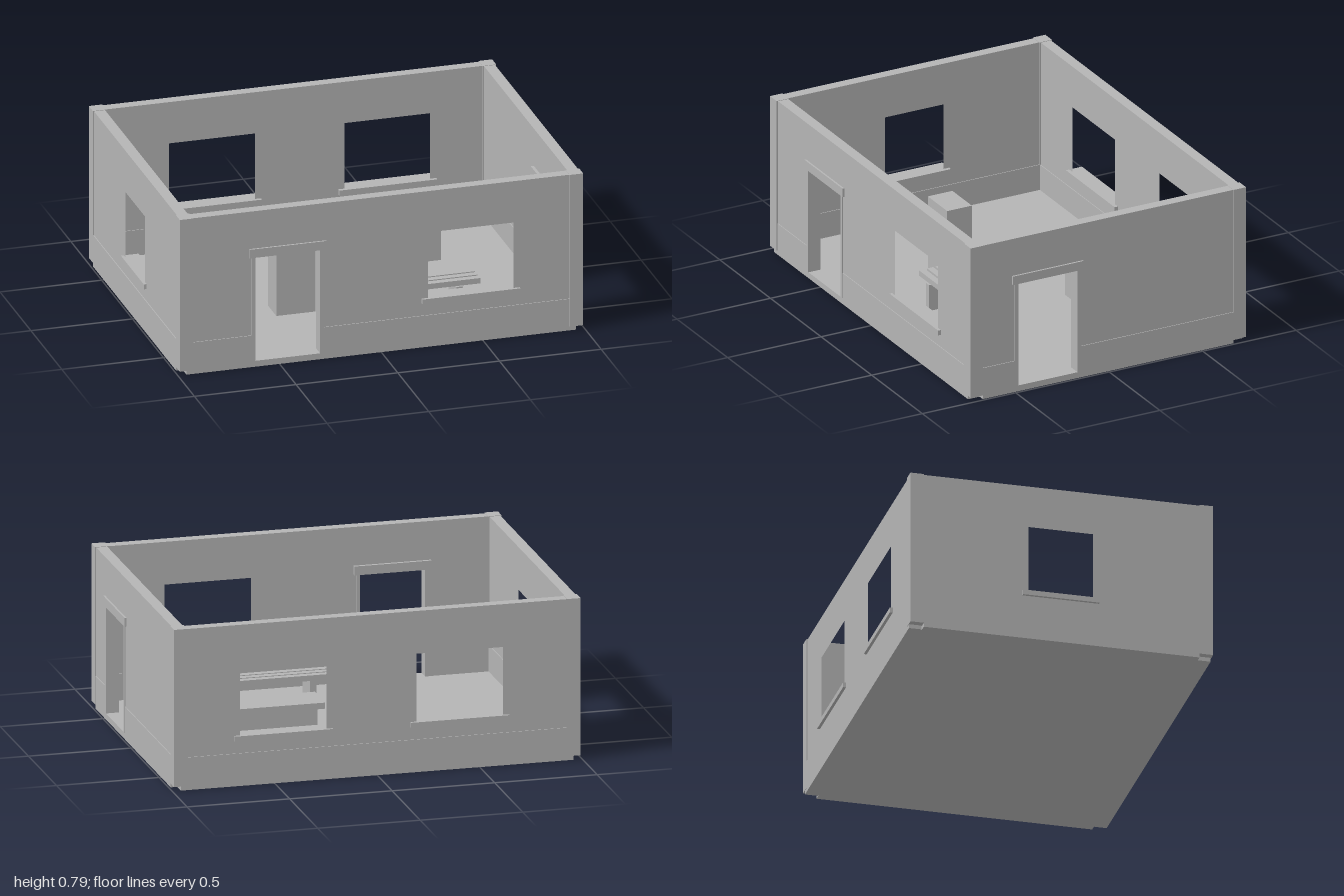
import * as THREE from 'three';

export function createModel() {
  const model = new THREE.Group();
  model.name = 'roomShell';
  const grey = new THREE.MeshStandardMaterial({ color: 0xb4b4b4 });
  grey.name = 'plainGrey';

  const TOP = 0.79, FLOOR = 0.03, PLINTH = 0.16, WALL = 0.054;

  // Box given by its minimum and maximum corners
  function box(parent, name, x0, x1, y0, y1, z0, z1) {
    const mesh = new THREE.Mesh(new THREE.BoxGeometry(x1 - x0, y1 - y0, z1 - z0), grey);
    mesh.position.set((x0 + x1) / 2, (y0 + y1) / 2, (z0 + z1) / 2);
    mesh.name = name;
    parent.add(mesh);
  }

  // Upright panel cut from an outline with holes, between depths z0 and z1
  function panel(parent, name, outline, holes, z0, z1) {
    const toPoints = (list) => list.map(([x, y]) => new THREE.Vector2(x, y));
    const shape = new THREE.Shape(toPoints(outline));
    for (const h of holes) shape.holes.push(new THREE.Path(toPoints(h)));
    const geometry = new THREE.ExtrudeGeometry(shape, { depth: z1 - z0, bevelEnabled: false });
    geometry.translate(0, 0, z0);
    const mesh = new THREE.Mesh(geometry, grey);
    mesh.name = name;
    parent.add(mesh);
  }

  const rect = (x0, x1, y0, y1) => [[x0, y0], [x0, y1], [x1, y1], [x1, y0]];

  // One wall in its own frame: x along the wall, +z outwards, outer face at z = 0
  function wall({ name, turn, x = 0, z = 0, half, plinthHalf, doors = [], windows = [] }) {
    const g = new THREE.Group();
    g.name = name;
    g.rotation.y = turn;
    g.position.set(x, 0, z);

    const holes = [];
    for (const [a, b] of doors) holes.push(rect(a, b, FLOOR, 0.556));
    for (const [a, b] of windows) holes.push(rect(a, b, 0.235, 0.58));
    panel(g, 'wallPanel', rect(-half, half, 0.02, TOP), holes, -WALL, 0);

    // Plinth, dropping to a threshold at each door
    const outline = [[-plinthHalf, 0], [-plinthHalf, PLINTH]];
    for (const [a, b] of doors) outline.push([a, PLINTH], [a, FLOOR], [b, FLOOR], [b, PLINTH]);
    outline.push([plinthHalf, PLINTH], [plinthHalf, 0]);
    panel(g, 'plinth', outline, [], -WALL - 0.004, 0.004);

    // Door frames
    for (const [a, b] of doors) {
      box(g, 'doorJamb', a - 0.018, a, FLOOR, 0.556, -WALL - 0.006, 0.005);
      box(g, 'doorJamb', b, b + 0.018, FLOOR, 0.556, -WALL - 0.006, 0.005);
      box(g, 'doorLintel', a - 0.03, b + 0.03, 0.556, 0.6, -WALL - 0.015, 0.009);
    }
    // Window sills
    for (const [a, b] of windows) {
      box(g, 'windowSill', a - 0.03, b + 0.03, 0.222, 0.247, -WALL - 0.018, 0.014);
    }
    model.add(g);
  }

  wall({ name: 'frontWall', turn: 0, z: 0.729, half: 0.958, plinthHalf: 0.958,
    doors: [[-0.618, -0.301]], windows: [[0.23, 0.652]] });
  wall({ name: 'backWall', turn: Math.PI, z: -0.731, half: 0.958, plinthHalf: 0.958,
    windows: [[-0.668, -0.247], [0.193, 0.615]] });
  wall({ name: 'rightWall', turn: Math.PI / 2, x: 0.986, half: 0.671, plinthHalf: 0.671,
    doors: [[-0.482, -0.164]] });
  wall({ name: 'leftWall', turn: -Math.PI / 2, x: -0.986, half: 0.671, plinthHalf: 0.671,
    windows: [[-0.16, 0.152]] });

  // Corner posts
  for (const sx of [-1, 1]) {
    for (const sz of [-1, 1]) {
      const cx = sx * 0.9585, cz = sz * 0.7035;
      box(model, 'cornerPost', cx - 0.033, cx + 0.033, 0.02, TOP + 0.002, cz - 0.033, cz + 0.033);
    }
  }

  // Floor slab
  box(model, 'floor', -0.95, 0.95, 0, FLOOR, -0.69, 0.69);

  // Slatted bench
  const bench = new THREE.Group();
  bench.name = 'bench';
  for (const x of [0.01, 0.457]) box(bench, 'benchLeg', x, x + 0.032, FLOOR, 0.163, 0.313, 0.445);
  for (const z of [0.313, 0.357, 0.401]) box(bench, 'benchSlat', -0.08, 0.578, 0.163, 0.19, z, z + 0.033);
  model.add(bench);

  // Tall cabinet
  box(model, 'cabinet', -0.364, -0.172, FLOOR, 0.415, 0.1, 0.232);

  // Counter with an overhanging top
  const counter = new THREE.Group();
  counter.name = 'counter';
  box(counter, 'counterTop', 0.153, 0.61, 0.232, 0.262, -0.366, -0.18);
  box(counter, 'counterBody', 0.183, 0.58, FLOOR, 0.232, -0.34, -0.206);
  model.add(counter);

  return model;
}
